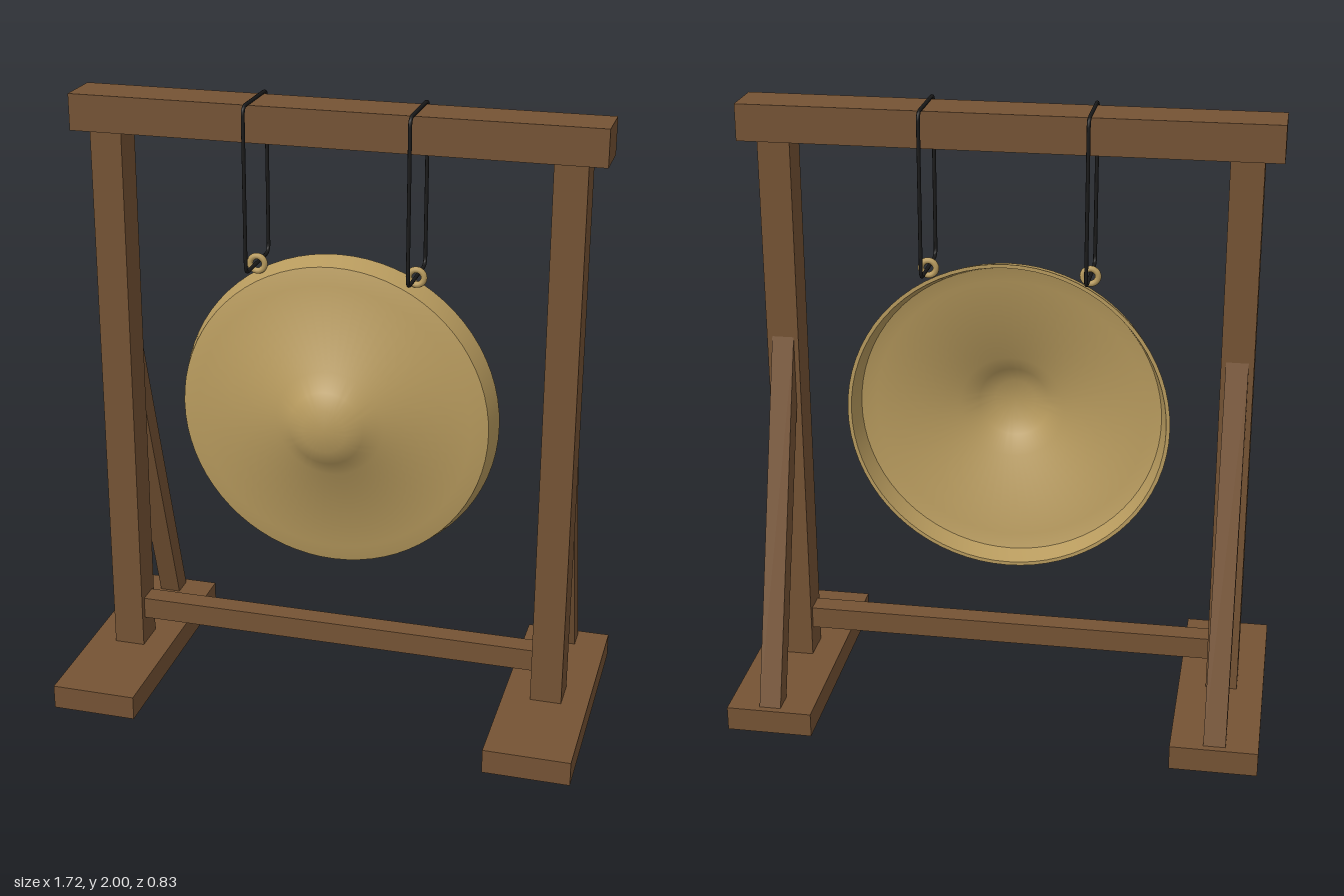
import * as THREE from 'three';
import { toCreasedNormals } from 'three/addons/utils/BufferGeometryUtils.js';

export function createModel() {
  const model = new THREE.Group();
  model.name = 'gongOnStand';

  const material = (name, color) => {
    const m = new THREE.MeshStandardMaterial({ color });
    m.name = name;
    return m;
  };
  const wood = material('brownWood', 0x755334);
  const brass = material('brass', 0xb89b5e);
  const cordBlack = material('blackCord', 0x1a1a1a);

  const add = (name, geometry, mat, x = 0, y = 0, z = 0) => {
    const mesh = new THREE.Mesh(geometry, mat);
    mesh.name = name;
    mesh.position.set(x, y, z);
    model.add(mesh);
    return mesh;
  };
  // Box given by its limits on each axis
  const box = (name, x0, x1, y0, y1, z0, z1) =>
    add(name, new THREE.BoxGeometry(x1 - x0, y1 - y0, z1 - z0), wood,
      (x0 + x1) / 2, (y0 + y1) / 2, (z0 + z1) / 2);

  // Frame
  box('topBeam', -0.83, 0.83, 1.875, 1.99, -0.06, 0.098);
  box('lowerRail', -0.67, 0.67, 0.175, 0.248, -0.016, 0.056);

  // Slanted brace outline, drawn in (-z, y)
  const braceShape = new THREE.Shape([
    new THREE.Vector2(0.32, 0.08), new THREE.Vector2(0.393, 0.08),
    new THREE.Vector2(0.035, 1.235), new THREE.Vector2(0.035, 1.0),
  ]);
  const braceGeometry = new THREE.ExtrudeGeometry(braceShape, { depth: 0.07, bevelEnabled: false });
  braceGeometry.translate(0, 0, -0.035).rotateY(Math.PI / 2);

  // Rounded rectangular cord loop in the yz plane
  const z0 = -0.095, z1 = 0.138, y0 = 1.475, y1 = 1.994, r = 0.028;
  const v = (z, y) => new THREE.Vector3(0, y, z);
  const loop = new THREE.CurvePath();
  const corners = [v(z0, y0), v(z1, y0), v(z1, y1), v(z0, y1)];
  corners.forEach((corner, i) => {
    const toward = (other) => corner.clone().add(other.clone().sub(corner).setLength(r));
    const next = corners[(i + 1) % 4];
    const start = toward(corners[(i + 3) % 4]);
    const end = toward(next);
    const nextStart = next.clone().add(corner.clone().sub(next).setLength(r));
    loop.add(new THREE.QuadraticBezierCurve3(start, corner, end));
    loop.add(new THREE.LineCurve3(end, nextStart));
  });
  const cordGeometry = new THREE.TubeGeometry(loop, 160, 0.006, 8, true);

  for (const [side, s] of [['left', 1], ['right', -1]]) {
    const span = (a, b) => (s > 0 ? [a, b] : [-b, -a]);
    box(side + 'Foot', ...span(0.58, 0.858), 0, 0.08, -0.415, 0.415);
    box(side + 'Post', ...span(0.67, 0.772), 0.08, 1.875, -0.035, 0.078);
    add(side + 'Brace', braceGeometry, wood, s * 0.72);
    add(side + 'Cord', cordGeometry, cordBlack, s * 0.255);
    add(side + 'HangingRing', new THREE.TorusGeometry(0.024, 0.01, 10, 24), brass, s * 0.255, 1.472, 0.022);
  }

  // Gong: thin hollow shell with a raised boss and a rim turned backward
  const profile = [
    [0, 0.156], [0.066, 0.156], [0.115, 0.131], [0.17, 0.088], [0.44, 0.056],
    [0.488, 0.042], [0.508, -0.02], [0.52, -0.02],
    [0.5, 0.054], [0.445, 0.068], [0.175, 0.1], [0.12, 0.144], [0.07, 0.17], [0, 0.17],
  ].map(([x, y]) => new THREE.Vector2(x, y));
  const gong = new THREE.LatheGeometry(profile, 72);
  gong.rotateX(Math.PI / 2);
  add('gong', toCreasedNormals(gong, 0.6), brass, 0, 0.99, 0);

  return model;
}
